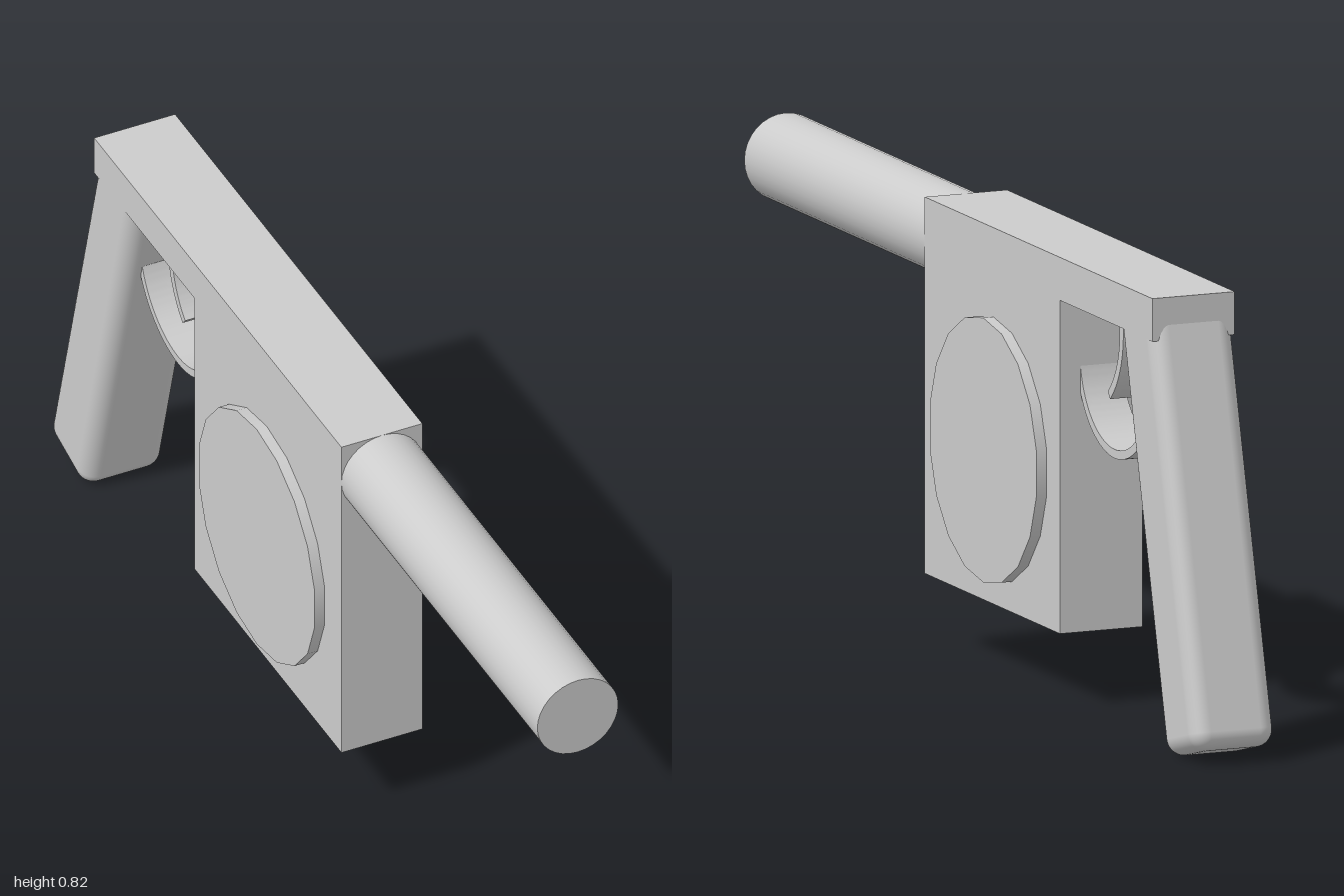
import * as THREE from 'three';
import { toCreasedNormals } from 'three/addons/utils/BufferGeometryUtils.js';
import { RoundedBoxGeometry } from 'three/addons/geometries/RoundedBoxGeometry.js';

const material = new THREE.MeshStandardMaterial({ color: 0xcccccc });

function part(group, name, geometry) {
  const mesh = new THREE.Mesh(geometry, material);
  mesh.name = name;
  group.add(mesh);
  return mesh;
}

// Side profile drawn as (z, y), extruded across x and centred
function extrudeSide(shape, width) {
  const geometry = new THREE.ExtrudeGeometry(shape, { depth: width, bevelEnabled: false, curveSegments: 32 });
  geometry.translate(0, 0, -width / 2).rotateY(-Math.PI / 2);
  return toCreasedNormals(geometry, 0.6);
}

// Thin curved strip; angles in degrees, 0 towards +z and 90 up
function arcStrip(z, y, radius, thickness, from, to, width) {
  const a = THREE.MathUtils.degToRad(from);
  const b = THREE.MathUtils.degToRad(to);
  const shape = new THREE.Shape();
  shape.absarc(z, y, radius, a, b, false);
  shape.absarc(z, y, radius - thickness, b, a, true);
  shape.closePath();
  return extrudeSide(shape, width);
}

export function createModel() {
  const model = new THREE.Group();
  model.name = 'toyBlaster';

  // Deep body block with a narrow bar running back over the grip
  const outline = [[0.2, 0.135], [0.2, 0.818], [-0.81, 0.818], [-0.81, 0.74], [-0.4, 0.74], [-0.4, 0.135]];
  const profile = new THREE.Shape(outline.map(([z, y]) => new THREE.Vector2(z, y)));
  part(model, 'body', extrudeSide(profile, 0.16));

  // Barrel
  const barrel = part(model, 'barrel', new THREE.CylinderGeometry(0.08, 0.08, 0.81, 32));
  barrel.rotation.x = Math.PI / 2;
  barrel.position.set(0, 0.738, 0.595);

  // Round drum passing through the body, vertex at the top
  const drumGeometry = new THREE.CylinderGeometry(0.24, 0.24, 0.2, 18);
  drumGeometry.rotateY(Math.PI / 2).rotateZ(Math.PI / 2);
  part(model, 'drum', drumGeometry).position.set(0, 0.416, -0.105);

  // Grip, raked back; its origin is the centre of the bottom face
  const gripLength = 0.8;
  const gripGeometry = new RoundedBoxGeometry(0.16, gripLength, 0.155, 6, 0.032);
  gripGeometry.translate(0, gripLength / 2, 0);
  const grip = part(model, 'grip', gripGeometry);
  grip.rotation.x = THREE.MathUtils.degToRad(15);
  grip.position.set(0, 0.013, -0.932);

  // Guard and trigger
  part(model, 'triggerGuard', arcStrip(-0.551, 0.648, 0.17, 0.016, 190, 350, 0.08));
  part(model, 'trigger', arcStrip(-0.42, 0.71, 0.17, 0.016, 160, 229, 0.08));

  return model;
}
